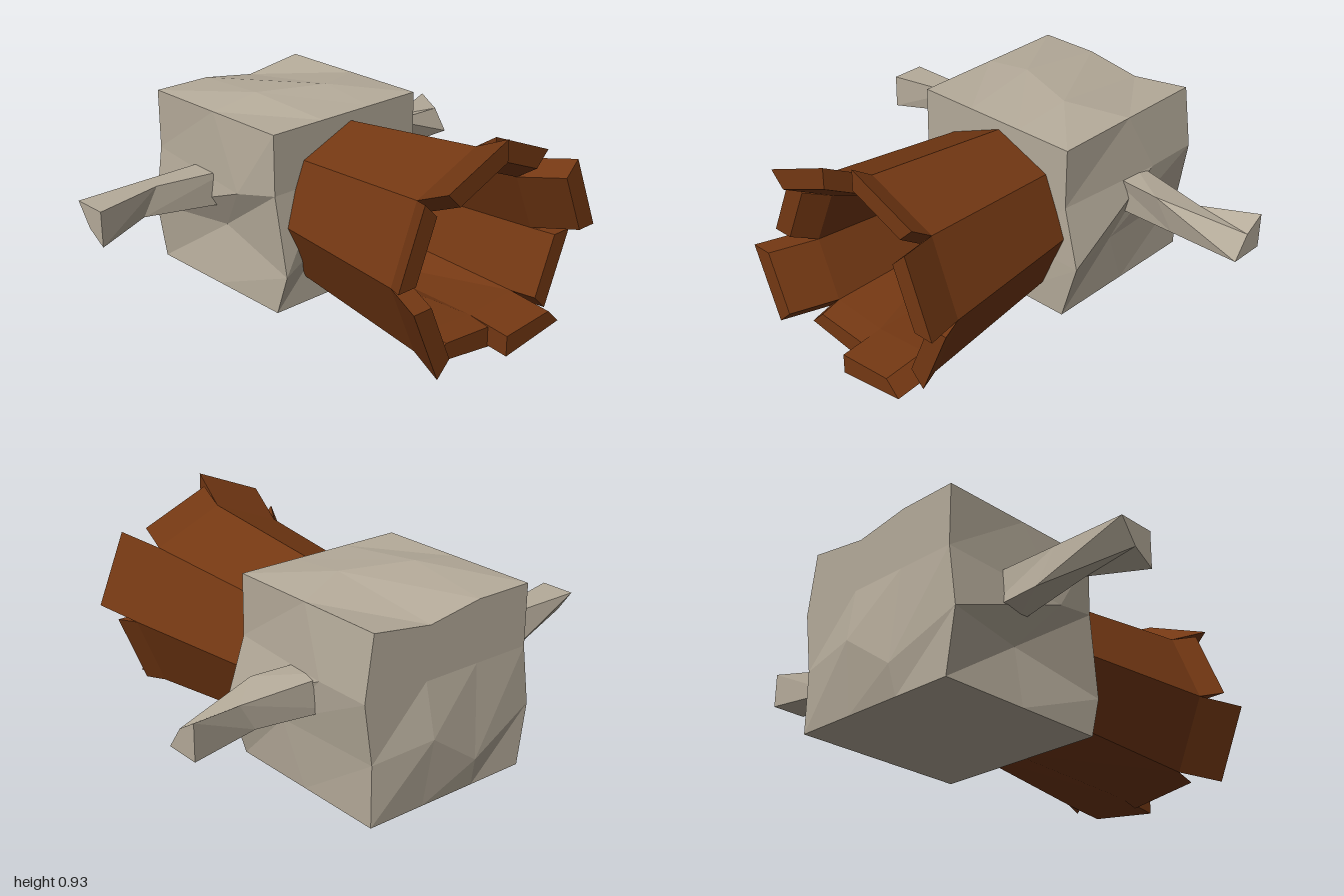
import * as THREE from 'three';

const stone = new THREE.MeshStandardMaterial({ color: 0xb5ab9a, flatShading: true });
const wood = new THREE.MeshStandardMaterial({ color: 0x743813, flatShading: true });

// Closed faceted solid through cross-sections with equal numbers of [x, y, z] corners
function loft(sections) {
  const tris = [];
  const n = sections[0].length;
  for (let s = 0; s < sections.length - 1; s++) {
    const a = sections[s], b = sections[s + 1];
    for (let i = 0; i < n; i++) {
      const j = (i + 1) % n;
      tris.push([a[i], a[j], b[j]], [a[i], b[j], b[i]]);
    }
  }
  const first = sections[0], last = sections[sections.length - 1];
  for (let i = 1; i < n - 1; i++) {
    tris.push([first[0], first[i + 1], first[i]], [last[0], last[i], last[i + 1]]);
  }
  // turn every face outward if the signed volume is negative
  const v = tris.map(t => t.map(p => new THREE.Vector3(...p)));
  const volume = v.reduce((sum, [a, b, c]) => sum + a.dot(b.clone().cross(c)), 0);
  const points = v.flatMap(([a, b, c]) => (volume < 0 ? [a, c, b] : [a, b, c]));
  const geometry = new THREE.BufferGeometry().setFromPoints(points);
  geometry.computeVertexNormals();
  return geometry;
}

function addMesh(group, name, geometry, material) {
  const mesh = new THREE.Mesh(geometry, material);
  mesh.name = name;
  group.add(mesh);
}

// Rough block: a 2 x 3 x 3 grid box with some grid points pushed in or out
function roughBlock() {
  const moved = {
    // top
    '1,3,1': [-0.32, 0.83, -0.14], '1,3,2': [-0.43, 0.835, 0.17],
    '0,3,1': [-0.83, 0.76, -0.12],
    // front
    '1,2,3': [-0.25, 0.49, 0.43], '1,1,3': [-0.43, 0.27, 0.35],
    '2,1,3': [0.015, 0.18, 0.39], '0,1,3': [-0.83, 0.27, 0.44],
    // back
    '0,2,0': [-0.83, 0.53, -0.44], '1,2,0': [-0.57, 0.53, -0.44],
    '1,1,0': [-0.32, 0.27, -0.42], '2,1,0': [-0.03, 0.27, -0.48],
    // outer end
    '0,1,1': [-0.87, 0.3, -0.12], '0,1,2': [-0.86, 0.13, 0.12],
  };
  const indexed = new THREE.BoxGeometry(0.79, 0.8, 0.8, 2, 3, 3);
  const p = indexed.attributes.position;
  for (let v = 0; v < p.count; v++) {
    const i = Math.round((p.getX(v) + 0.395) / 0.395);
    const j = Math.round((p.getY(v) + 0.4) / 0.8 * 3);
    const k = Math.round((p.getZ(v) + 0.4) / 0.8 * 3);
    const to = moved[`${i},${j},${k}`] || [p.getX(v) - 0.435, p.getY(v) + 0.4, p.getZ(v)];
    p.setXYZ(v, ...to);
  }
  const geometry = indexed.toNonIndexed();
  geometry.computeVertexNormals();
  return geometry;
}

// One stave of the flared hollow tube, with its own end position and outward shift
function stave(index, tipX, dz, dy) {
  const corner = (x, radius, step, floor) => {
    const angle = step * Math.PI / 4;
    return [x, Math.max(0.385 + radius * Math.sin(angle), floor), -0.025 + radius * Math.cos(angle)];
  };
  const section = (x, outer, inner, floor) => [
    corner(x, outer, index, floor), corner(x, outer, index + 1, floor),
    corner(x, inner, index + 1, 0.11), corner(x, inner, index, 0.11),
  ];
  const middle = section(0.66, 0.452, 0.36, 0.02);
  const tip = middle.map(([, y, z]) => [tipX, y + dy, z + dz]);
  return loft([section(-0.045, 0.375, 0.27, 0.04), middle, tip]);
}

export function createModel() {
  const model = new THREE.Group();
  model.name = 'hammerHeadBlock';
  addMesh(model, 'block', roughBlock(), stone);

  // Bent side prongs; the rear one is the front one inverted through a point
  const prong = [
    [[-0.56, 0.53, 0.33], [-0.41, 0.53, 0.33], [-0.41, 0.375, 0.33], [-0.57, 0.375, 0.33]],
    [[-0.56, 0.53, 0.68], [-0.47, 0.53, 0.68], [-0.47, 0.41, 0.75], [-0.59, 0.375, 0.61]],
    [[-0.56, 0.53, 1], [-0.4, 0.53, 1], [-0.4, 0.375, 1], [-0.49, 0.43, 1]],
  ];
  const inverted = prong.map(s => s.map(([x, y, z]) => [-0.96 - x, 0.905 - y, -z]));
  addMesh(model, 'frontProng', loft(prong), stone);
  addMesh(model, 'rearProng', loft(inverted), stone);

  // Wooden tube of eight staves, starting at the front and going over the top
  const tube = new THREE.Group();
  tube.name = 'woodenTube';
  const tips = [
    [0.76, 0.06, 0.03], [0.86, 0.045, 0.095], [0.76, 0, 0.065], [0.86, -0.065, 0.035],
    [0.76, -0.035, -0.01], [0.86, 0, -0.02], [0.76, -0.01, -0.018], [0.86, 0.08, -0.01],
  ];
  tips.forEach((tip, i) => addMesh(tube, `stave${i + 1}`, stave(i, ...tip), wood));
  model.add(tube);
  return model;
}
